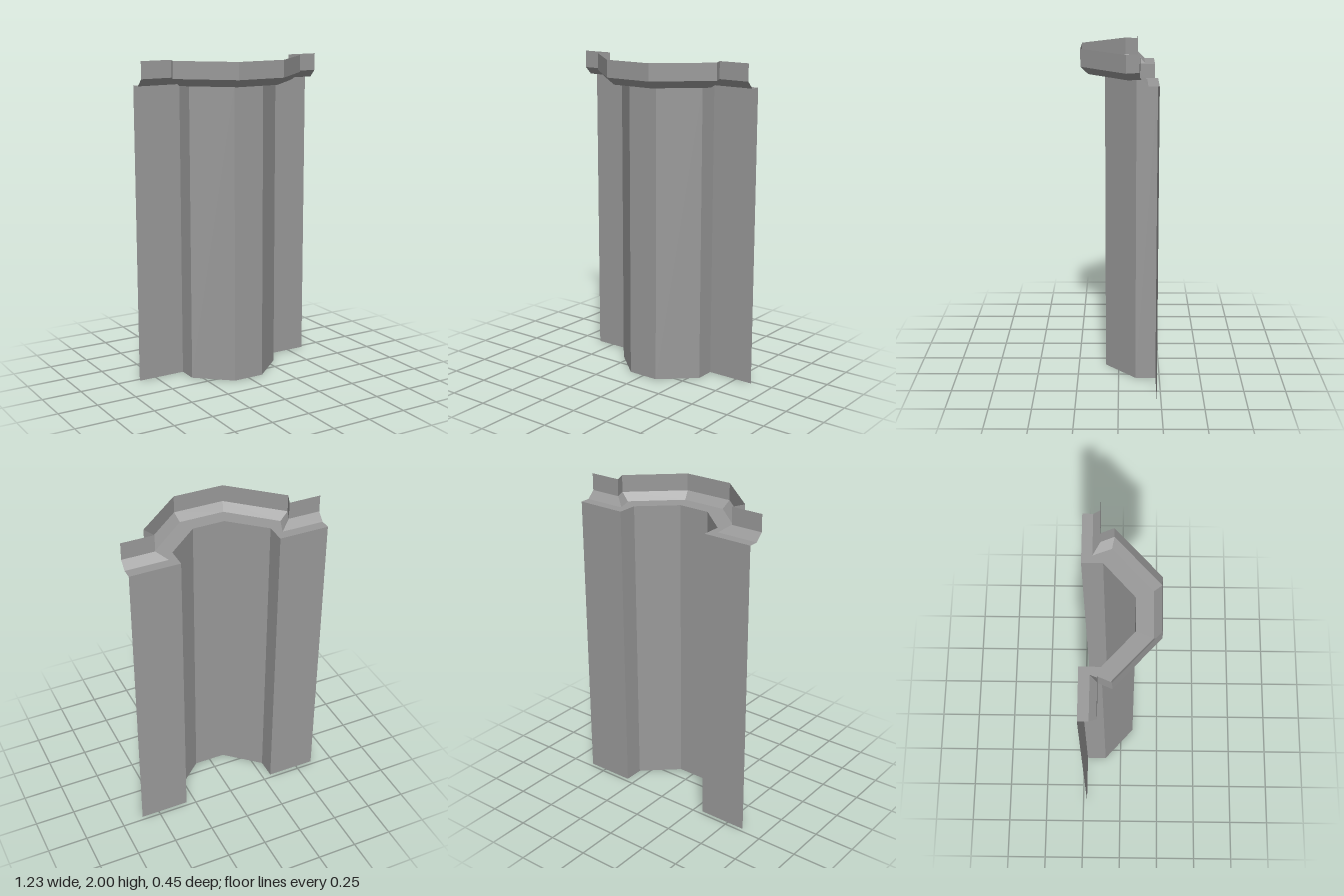
import * as THREE from 'three';

// Mirror the -x half of a plan line [x, z] to get the full line from -x to +x
const mirrored = (half) => [...half, ...half.slice().reverse().map(([x, z]) => [-x, z])];

// Plan lines of the wall, the soffit's front edge and the fascia
const wallLine = mirrored([[-0.613, -0.226], [-0.306, -0.226], [-0.306, -0.103], [-0.1, 0.081]]);
const soffitLine = mirrored([[-0.613, -0.164], [-0.352, -0.164], [-0.395, -0.055], [-0.139, 0.179]]);
const fasciaLine = mirrored([[-0.613, -0.119], [-0.414, -0.119], [-0.447, -0.041], [-0.155, 0.224]]);

// Flat-faced strip joining two plan lines at two heights
function strip(name, lower, y0, upper, y1, material) {
  const positions = [];
  for (let i = 0; i < lower.length - 1; i++) {
    const at = (line, y, k) => [line[k][0], y, line[k][1]];
    const a = at(lower, y0, i), b = at(lower, y0, i + 1);
    const c = at(upper, y1, i + 1), d = at(upper, y1, i);
    positions.push(...a, ...b, ...c, ...a, ...c, ...d);
  }
  const geometry = new THREE.BufferGeometry();
  geometry.setAttribute('position', new THREE.Float32BufferAttribute(positions, 3));
  geometry.computeVertexNormals();
  const mesh = new THREE.Mesh(geometry, material);
  mesh.name = name;
  return mesh;
}

export function createModel() {
  const stone = new THREE.MeshStandardMaterial({ color: 0x999999, side: THREE.DoubleSide });
  stone.name = 'grey stone';

  const group = new THREE.Group();
  group.name = 'bayWall';
  const eaves = 1.85, fasciaFoot = 1.895, top = 2;

  // Folded wall with a projecting bay, then the open cornice above it
  group.add(
    strip('wall', wallLine, 0, wallLine, eaves, stone),
    strip('corniceSoffit', wallLine, eaves, soffitLine, eaves, stone),
    strip('corniceSlope', soffitLine, eaves, fasciaLine, fasciaFoot, stone),
    strip('corniceFascia', fasciaLine, fasciaFoot, fasciaLine, top, stone),
  );
  return group;
}
